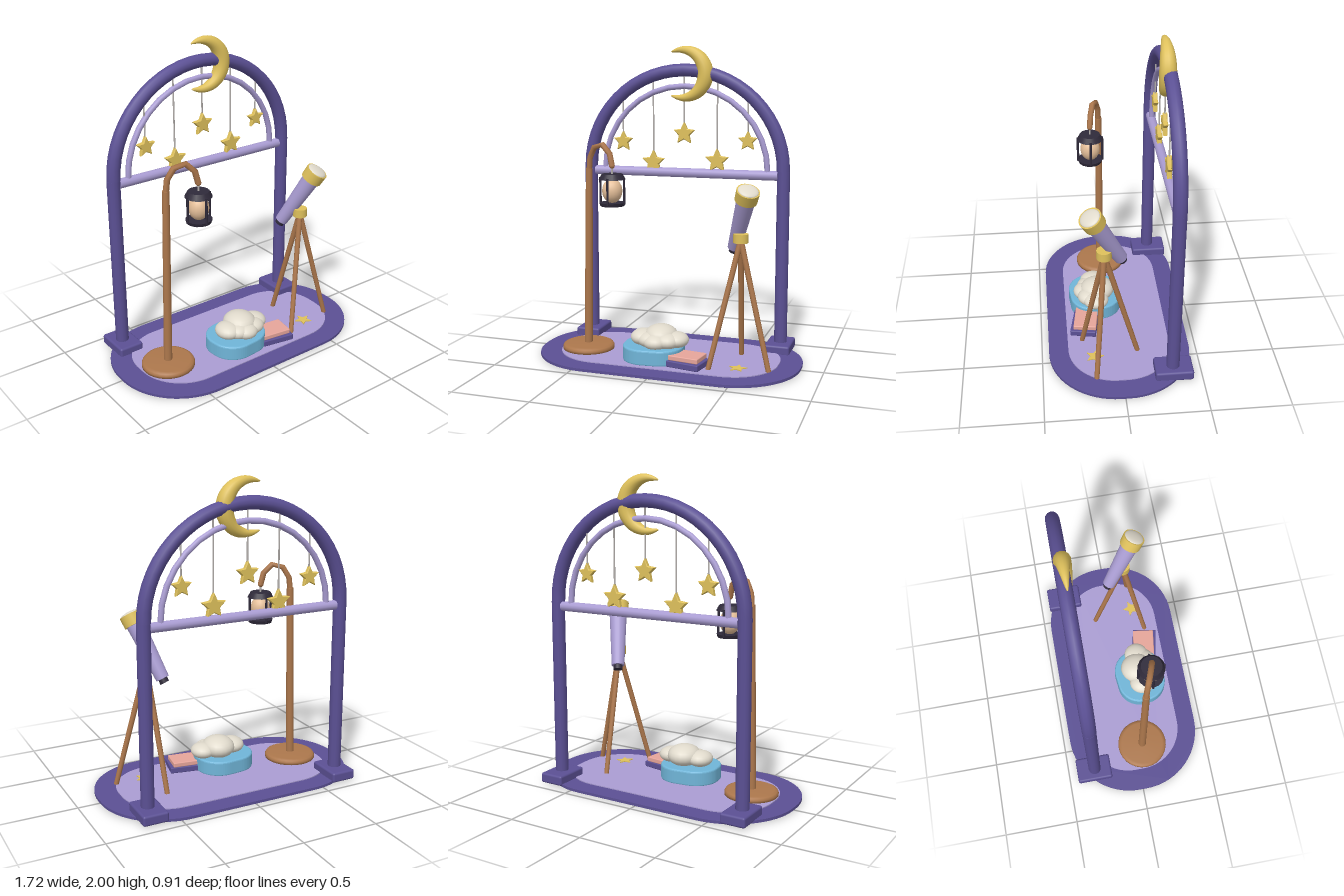
import * as THREE from 'three';
import { RoundedBoxGeometry } from 'three/addons/geometries/RoundedBoxGeometry.js';
import { ParametricGeometry } from 'three/addons/geometries/ParametricGeometry.js';

const mat = (name, color) => {
  const m = new THREE.MeshStandardMaterial({ color });
  m.name = name;
  return m;
};
const V = (x, y, z) => new THREE.Vector3(x, y, z);

export function createModel() {
  const model = new THREE.Group();
  model.name = 'stargazingCorner';
  const purple = mat('deep purple', 0x5b5094), lilac = mat('lilac', 0xaa9dd3);
  const gold = mat('gold', 0xdfc15c), wood = mat('wood brown', 0xac774c);
  const blue = mat('cushion blue', 0x70b5d8), cream = mat('cream', 0xe0dacc);
  const pink = mat('pink', 0xe6a59a), dark = mat('dark metal', 0x2f2a3a);
  const glow = mat('lantern glow', 0xe6c09a), cord = mat('cord grey', 0xb8b3b0);

  const add = (name, geo, material, x = 0, y = 0, z = 0, parent = model) => {
    const m = new THREE.Mesh(geo, material);
    m.name = name;
    m.position.set(x, y, z);
    parent.add(m);
    return m;
  };
  // Tapered round bar between two points
  const rod = (name, a, b, ra, rb, material, sides = 12) => {
    const d = b.clone().sub(a);
    const m = add(name, new THREE.CylinderGeometry(rb, ra, d.length(), sides), material);
    m.position.copy(a).addScaledVector(d, 0.5);
    m.quaternion.setFromUnitVectors(V(0, 1, 0), d.normalize());
    return m;
  };
  // Flat slab with rounded corners, lying on the floor plane
  const slab = (w, d, r, h, bevel = 0) => {
    const s = new THREE.Shape(), x = w / 2 - bevel, y = d / 2 - bevel;
    s.absarc(x - r, y - r, r, 0, Math.PI / 2);
    s.absarc(r - x, y - r, r, Math.PI / 2, Math.PI);
    s.absarc(r - x, r - y, r, Math.PI, Math.PI * 1.5);
    s.absarc(x - r, r - y, r, Math.PI * 1.5, Math.PI * 2);
    const g = new THREE.ExtrudeGeometry(s, {
      depth: h - 2 * bevel, curveSegments: 8, bevelEnabled: bevel > 0,
      bevelSize: bevel, bevelThickness: bevel, bevelSegments: 3,
    });
    return g.translate(0, 0, bevel).rotateX(-Math.PI / 2);
  };
  const starGeometry = (r, depth, bevel) => {
    const s = new THREE.Shape();
    for (let i = 0; i < 10; i++) {
      const a = Math.PI / 2 + i * Math.PI / 5, q = (i % 2 ? 0.46 : 1) * (r - bevel);
      s[i ? 'lineTo' : 'moveTo'](q * Math.cos(a), q * Math.sin(a));
    }
    s.closePath();
    const g = new THREE.ExtrudeGeometry(s, {
      depth, bevelEnabled: bevel > 0, bevelSize: bevel, bevelThickness: bevel, bevelSegments: 1,
    });
    return g.translate(0, 0, -depth / 2);
  };

  // Rug with a dark backing, an inner panel and a flat star
  add('rugBacking', slab(1.7, 0.89, 0.42, 0.004), dark);
  add('rugBorder', slab(1.72, 0.91, 0.43, 0.017), purple, 0, 0.004, 0);
  add('rugPanel', slab(1.44, 0.66, 0.3, 0.006), lilac, 0, 0.021, 0);
  add('rugStar', starGeometry(0.06, 0.006, 0).rotateX(-Math.PI / 2), gold, 0.495, 0.03, 0.165);

  // Arched frame
  const Z = -0.315, SPRING = 1.2;
  for (const s of [-1, 1]) {
    add('archFoot', new RoundedBoxGeometry(0.165, 0.066, 0.24, 3, 0.014), purple, s * 0.662, 0.042, -0.32);
    add('archPost', new THREE.CylinderGeometry(0.042, 0.042, 1.16, 12), purple, s * 0.667, 0.62, Z);
  }
  add('outerArch', new THREE.TorusGeometry(0.665, 0.043, 12, 28, Math.PI), purple, 0, SPRING, Z).scale.y = 0.97;
  add('innerArch', new THREE.TorusGeometry(0.562, 0.019, 8, 16, Math.PI), lilac, 0, SPRING - 0.01, Z).scale.y = 0.98;
  rod('crossbar', V(-0.63, 1.17, Z), V(0.63, 1.17, Z), 0.031, 0.031, lilac);

  // Hanging stars: x, y, radius
  for (const [x, y, r] of [[-0.43, 1.37, 0.067], [-0.215, 1.235, 0.08], [0, 1.43, 0.074],
    [0.225, 1.255, 0.08], [0.43, 1.39, 0.064]]) {
    const top = SPRING + 0.97 * Math.sqrt(0.64 ** 2 - x * x);
    rod('starString', V(x, y + r * 0.8, Z), V(x, top, Z), 0.005, 0.005, cord, 6);
    add('hangingStar', starGeometry(r, 0.02, 0.005), gold, x, y, Z);
  }

  // Crescent moon: a ring section that swells in the middle
  const crescent = (u, v, target) => {
    const t = (u * 2 - 1) * 2.2, p = v * Math.PI * 2;
    const r = 0.004 + 0.048 * Math.max(0, Math.cos((u * 2 - 1) * Math.PI / 2)) ** 0.8;
    const R = 0.18 - r + r * Math.cos(p);
    target.set(R * Math.cos(t), R * Math.sin(t), r * Math.sin(p));
  };
  add('moon', new ParametricGeometry(crescent, 36, 14), gold, 0.018, 1.82, -0.303);

  // Lamp stand with a hooked neck
  add('lampBase', new THREE.LatheGeometry([[0, 0], [0.17, 0], [0.17, 0.018], [0.163, 0.03], [0.145, 0.038], [0, 0.04]]
    .map(([x, y]) => new THREE.Vector2(x, y)), 28), wood, -0.545, 0.025, 0.05);
  rod('lampPole', V(-0.547, 0.05, 0.05), V(-0.525, 1.22, 0.053), 0.027, 0.022, wood);
  const neck = new THREE.CatmullRomCurve3([V(-0.525, 1.21, 0.053), V(-0.51, 1.31, 0.06), V(-0.44, 1.385, 0.09),
    V(-0.365, 1.335, 0.113), V(-0.34, 1.245, 0.122)]);
  add('lampNeck', new THREE.TubeGeometry(neck, 5, 0.019, 8), wood);
  add('neckTip', new THREE.SphereGeometry(0.018, 8, 6), wood, -0.34, 1.247, 0.122);

  // Lantern
  const lantern = new THREE.Group();
  lantern.name = 'lantern';
  lantern.position.set(-0.34, 0, 0.122);
  model.add(lantern);
  add('lanternWire', new THREE.CylinderGeometry(0.006, 0.006, 0.06, 6), cord, 0, 1.215, 0, lantern);
  add('lanternCap', new THREE.CylinderGeometry(0.066, 0.085, 0.035, 16), dark, 0, 1.18, 0, lantern);
  add('lanternFloor', new THREE.CylinderGeometry(0.083, 0.076, 0.022, 16), dark, 0, 1.005, 0, lantern);
  add('lanternGlow', new THREE.SphereGeometry(0.064, 18, 14), glow, 0, 1.09, 0, lantern).scale.y = 1.22;
  for (let i = 0; i < 4; i++) {
    const a = i * Math.PI / 2;
    add('lanternBar', new THREE.CylinderGeometry(0.008, 0.008, 0.17, 8), dark,
      0.08 * Math.cos(a), 1.09, 0.08 * Math.sin(a), lantern);
  }

  // Floor cushion with a cloud pillow: x, y, z, then radii
  add('cushion', slab(0.39, 0.34, 0.14, 0.1, 0.012), blue, -0.063, 0.022, 0.125).rotation.y = 0.1;
  for (const [x, y, z, a, b, c] of [[-0.02, 0.175, 0.11, 0.108, 0.072, 0.115], [-0.13, 0.163, 0.13, 0.082, 0.052, 0.09],
    [0.085, 0.16, 0.125, 0.082, 0.05, 0.085], [-0.075, 0.158, 0.165, 0.08, 0.05, 0.08],
    [0.04, 0.158, 0.165, 0.08, 0.05, 0.08], [-0.03, 0.152, 0.19, 0.08, 0.05, 0.08]]) {
    add('cloudPuff', new THREE.SphereGeometry(1, 20, 14), cream, x, y, z).scale.set(a, b, c);
  }

  // Two stacked books
  add('lowerBook', new RoundedBoxGeometry(0.22, 0.04, 0.17, 2, 0.006), purple, 0.187, 0.046, 0.207).rotation.y = -0.19;
  add('upperBook', new RoundedBoxGeometry(0.2, 0.032, 0.15, 2, 0.006), pink, 0.182, 0.082, 0.2).rotation.y = -0.14;

  // Tripod
  const hub = V(0.49, 0.82, 0.1);
  for (const foot of [V(0.325, 0.025, 0.235), V(0.688, 0.025, 0.165), V(0.452, 0.025, -0.115)]) {
    rod('tripodLeg', foot, hub, 0.016, 0.018, wood, 10);
  }
  add('tripodHub', new THREE.CylinderGeometry(0.047, 0.047, 0.055, 16), gold, 0.49, 0.83, 0.1);

  // Telescope, laid out along its axis from eyepiece to lens
  const tail = V(0.415, 0.725, -0.02), head = V(0.553, 1.137, 0.187);
  const at = (t) => tail.clone().lerp(head, t);
  rod('eyepiece', at(0), at(0.09), 0.03, 0.028, dark, 16);
  rod('telescopeTube', at(0.06), at(0.93), 0.042, 0.06, lilac, 20);
  rod('telescopeCollar', at(0.84), at(0.99), 0.07, 0.072, gold, 20);
  const lens = add('telescopeLens', new THREE.SphereGeometry(0.064, 20, 8, 0, Math.PI * 2, 0, Math.PI / 2), cream);
  lens.position.copy(at(0.988));
  lens.scale.y = 0.28;
  lens.quaternion.setFromUnitVectors(V(0, 1, 0), head.clone().sub(tail).normalize());

  return model;
}
